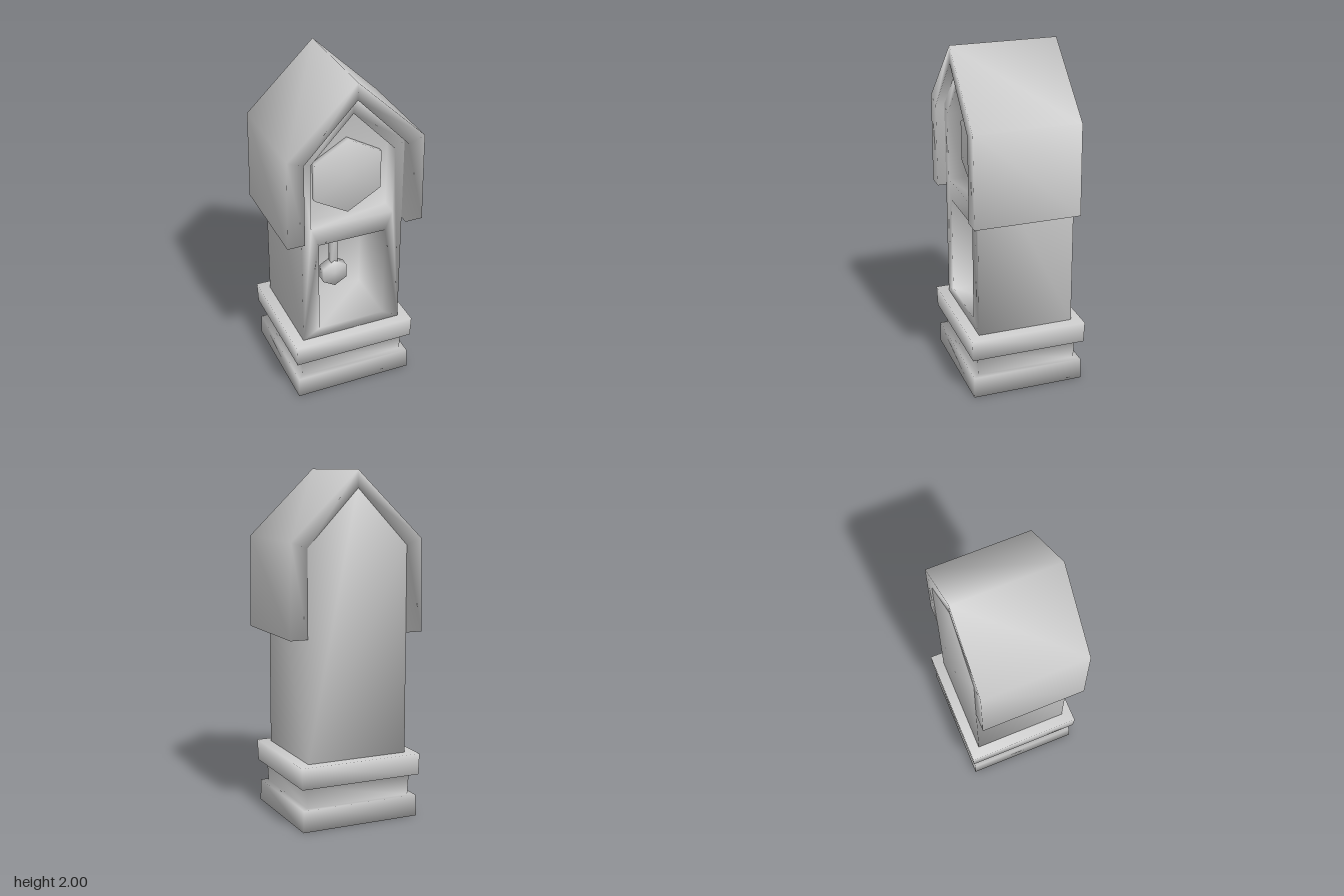
import * as THREE from 'three';
import { mergeGeometries, mergeVertices } from 'three/addons/utils/BufferGeometryUtils.js';

const material = new THREE.MeshStandardMaterial({ color: 0xcccccc });

// Weld all corners so normals run smoothly over every edge
function weld(...parts) {
  const plain = parts.map((part) => {
    const g = part.index ? part.toNonIndexed() : part;
    g.deleteAttribute('uv');
    g.deleteAttribute('normal');
    return g;
  });
  const geometry = mergeVertices(mergeGeometries(plain), 1e-4);
  geometry.computeVertexNormals();
  return geometry;
}

const toShape = (points) => new THREE.Shape(points.map(([x, y]) => new THREE.Vector2(x, y)));

// Flat face towards +z at depth z, with optional holes
function cap(points, z, holes = []) {
  const shape = toShape(points);
  shape.holes = holes.map(toShape);
  return new THREE.ShapeGeometry(shape).translate(0, 0, z);
}

// Flat face towards -z (outlines are mirror-symmetric in x)
const backCap = (points, z) => cap(points, 0).rotateY(Math.PI).translate(0, 0, z);

// Side walls of an outline; counter-clockwise points face outwards
function wall(points, z0, z1) {
  const pos = [];
  points.forEach(([ax, ay], i) => {
    const [bx, by] = points[(i + 1) % points.length];
    pos.push(ax, ay, z0, bx, by, z0, bx, by, z1, ax, ay, z0, bx, by, z1, ax, ay, z1);
  });
  const g = new THREE.BufferGeometry();
  g.setAttribute('position', new THREE.Float32BufferAttribute(pos, 3));
  return g;
}

// A hollow sunk from the front plane: inward walls and a rear panel
const recess = (points, zBack, zFront) => [
  wall([...points].reverse(), zBack, zFront),
  cap(points, zBack),
];

const gable = (w, bottom, eave, peak) => [[-w, bottom], [w, bottom], [w, eave], [0, peak], [-w, eave]];

// Hexagonal disc facing +z with a corner at the top
const hexDisc = (r, depth) => weld(new THREE.CylinderGeometry(r, r, depth, 6).rotateX(Math.PI / 2));

export function createModel() {
  const model = new THREE.Group();
  const add = (name, geometry, x = 0, y = 0, z = 0) => {
    const mesh = new THREE.Mesh(geometry, material);
    mesh.name = name;
    mesh.position.set(x, y, z);
    model.add(mesh);
  };

  // Stepped square plinth
  const profile = [
    [0, 0], [0.358, 0], [0.354, 0.125], [0.318, 0.125],
    [0.324, 0.25], [0.366, 0.25], [0.37, 0.375], [0, 0.375],
  ].map(([x, y]) => new THREE.Vector2(x * Math.SQRT2, y));
  add('plinth', weld(new THREE.LatheGeometry(profile, 4, Math.PI / 4).scale(1, 1, 0.935)));

  // Case with a pendulum window and a gabled dial recess
  const back = -0.283, front = 0.285;
  const outline = gable(0.305, 0.375, 1.58, 1.9);
  const dialHole = gable(0.247, 1.135, 1.54, 1.8);
  const windowHole = [[-0.203, 0.435], [0.203, 0.435], [0.203, 1.02], [-0.203, 1.02]];
  add('case', weld(
    cap(outline, front, [dialHole, windowHole]),
    wall(outline, back, front),
    backCap(outline, back),
    ...recess(dialHole, 0.19, front),
    ...recess(windowHole, -0.06, front),
  ));

  // Pointed hood wrapping over the top of the case
  const hood = [
    [0.305, 1.08], [0.408, 1.08], [0.4, 1.615], [0, 2], [-0.4, 1.615],
    [-0.408, 1.08], [-0.305, 1.08], [-0.305, 1.58], [0, 1.9], [0.305, 1.58],
  ];
  add('hood', weld(cap(hood, 0.337), wall(hood, back, 0.337), backCap(hood, back)));

  // Dial and pendulum
  add('dial', hexDisc(0.23, 0.06), 0, 1.385, 0.19);
  add('pendulumRod', weld(new THREE.BoxGeometry(0.04, 0.36, 0.04)), 0, 0.84, 0.01);
  add('pendulumBob', hexDisc(0.087, 0.06), 0, 0.61, 0.01);

  return model;
}
